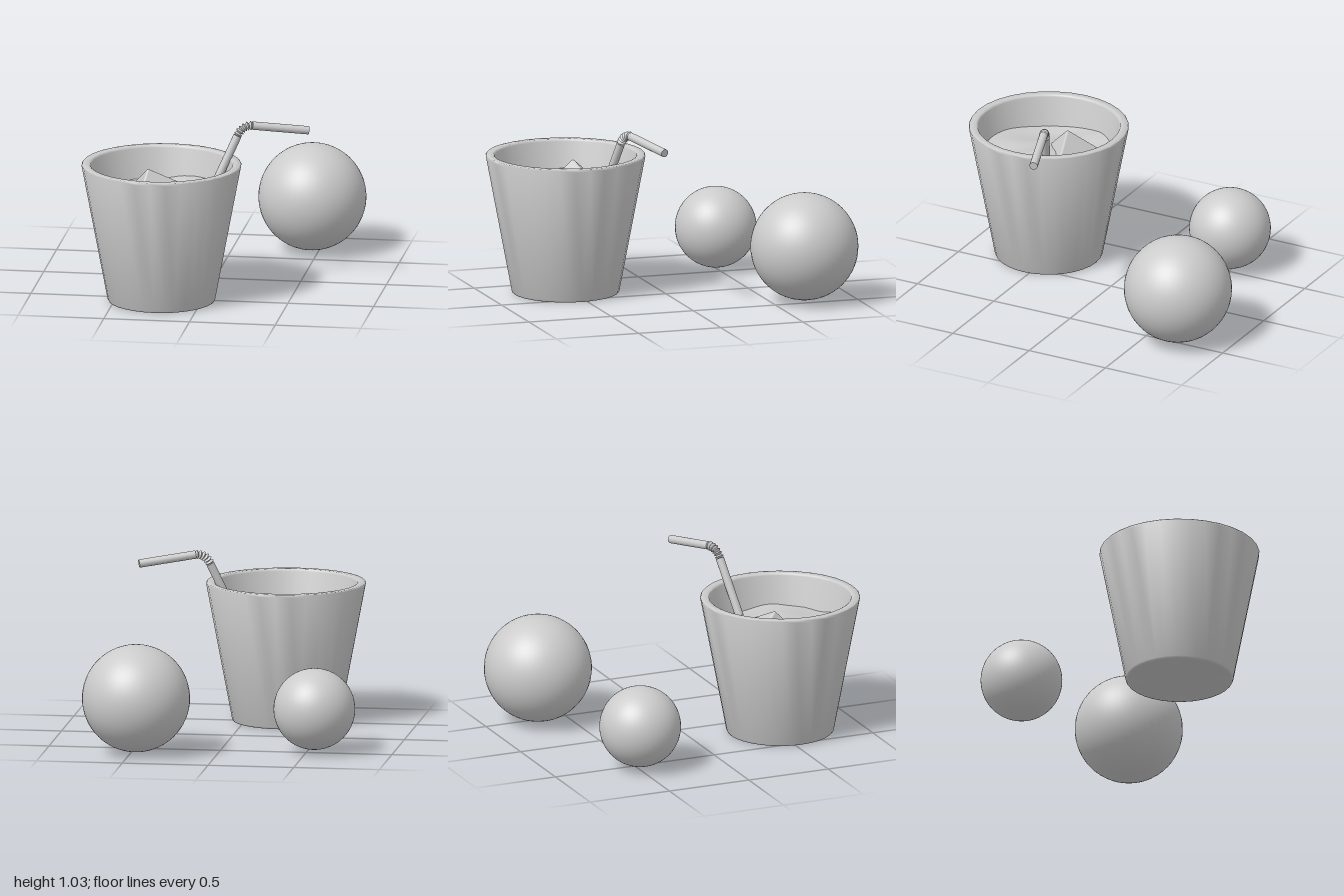
import * as THREE from 'three';
import { toCreasedNormals } from 'three/addons/utils/BufferGeometryUtils.js';
import { RoundedBoxGeometry } from 'three/addons/geometries/RoundedBoxGeometry.js';

const V = (x, y, z) => new THREE.Vector3(x, y, z);
const grey = new THREE.MeshStandardMaterial({ color: 0xcccccc });
const greyDouble = new THREE.MeshStandardMaterial({ color: 0xcccccc, side: THREE.DoubleSide });

function part(name, geometry, material = grey) {
  const mesh = new THREE.Mesh(geometry, material);
  mesh.name = name;
  return mesh;
}

// Closed cylinder running from point a to point b
function rod(name, a, b, radius) {
  const dir = b.clone().sub(a);
  const mesh = part(name, new THREE.CylinderGeometry(radius, radius, dir.length(), 16));
  mesh.position.copy(a).add(b).multiplyScalar(0.5);
  mesh.quaternion.setFromUnitVectors(V(0, 1, 0), dir.normalize());
  return mesh;
}

// Tapered cup with a thick wall and softened edges
function makeCup() {
  const profile = [
    [0, 0], [0.298, 0], [0.307, 0.003], [0.312, 0.012],
    [0.461, 0.8], [0.462, 0.809], [0.457, 0.815],
    [0.42, 0.815], [0.413, 0.811], [0.41, 0.802],
    [0.27, 0.05], [0, 0.05],
  ].map(([r, y]) => new THREE.Vector2(r, y));
  return part('cup', toCreasedNormals(new THREE.LatheGeometry(profile, 32), 0.9));
}

// Gently rippled drink surface
function makeDrink() {
  const geo = new THREE.RingGeometry(0, 0.378, 64, 16);
  geo.rotateX(-Math.PI / 2);
  const p = geo.attributes.position;
  for (let i = 0; i < p.count; i++) {
    const x = p.getX(i), z = p.getZ(i);
    const wave = 0.011 * Math.sin(11 * x + 4 * z + 0.6) + 0.009 * Math.cos(13 * z - 5 * x)
      + 0.004 * Math.sin(24 * x - 17 * z);
    p.setY(i, 0.64 + wave);
  }
  geo.computeVertexNormals();
  return part('drink', geo, greyDouble);
}

// Tilted cube with one corner breaking the drink surface
function makeIce() {
  const size = 0.23;
  const peak = V(-0.325, 0.765, 0.46);
  const ex = V(0.145, -0.07, -0.04).normalize();
  const ez = V(-0.035, -0.12, 0.125);
  ez.addScaledVector(ex, -ez.dot(ex)).normalize();
  const ey = ez.clone().cross(ex);
  const ice = part('iceCube', new RoundedBoxGeometry(size, size, size, 2, 0.012));
  ice.quaternion.setFromRotationMatrix(new THREE.Matrix4().makeBasis(ex, ey, ez));
  ice.position.copy(peak).addScaledVector(ex, size / 2)
    .addScaledVector(ez, size / 2).addScaledVector(ey, -size / 2);
  return ice;
}

// Drinking straw: long stem, pleated bend, short mouthpiece
function makeStraw() {
  const straw = new THREE.Group();
  straw.name = 'straw';
  const r = 0.024;
  const foot = V(-0.2, 0.08, 0.505), bendStart = V(0.181, 0.945, 0.334);
  const bendEnd = V(0.262, 1.0, 0.302), tip = V(0.576, 0.957, 0.199);
  straw.add(rod('strawStem', foot, bendStart, r), rod('strawMouthpiece', bendEnd, tip, r));

  // Pleats alternate wide and narrow rings along the bend
  const rings = 12;
  const path = new THREE.QuadraticBezierCurve3(bendStart, V(0.208, 1.005, 0.322), bendEnd);
  const geo = new THREE.TubeGeometry(path, rings, r, 16);
  const p = geo.attributes.position, v = V(0, 0, 0);
  for (let i = 0; i < p.count; i++) {
    const ring = Math.floor(i / 17);
    const c = path.getPointAt(ring / rings);
    v.fromBufferAttribute(p, i).sub(c).multiplyScalar(ring % 2 ? 1.12 : 0.6).add(c);
    p.setXYZ(i, v.x, v.y, v.z);
  }
  straw.add(part('strawPleats', toCreasedNormals(geo, 0.7), greyDouble));
  return straw;
}

function makeBall(name, radius, x, y, z) {
  const ball = part(name, new THREE.SphereGeometry(radius, 48, 32));
  ball.position.set(x, y, z);
  return ball;
}

export function createModel() {
  const model = new THREE.Group();
  model.name = 'drinkAndBalls';
  const cup = new THREE.Group();
  cup.name = 'filledCup';
  cup.add(makeCup(), makeDrink());
  cup.position.set(-0.233, 0, 0.533);
  model.add(
    cup, makeIce(), makeStraw(),
    makeBall('largeBall', 0.312, 0.465, 0.327, -0.688),
    makeBall('smallBall', 0.236, -0.546, 0.254, -0.486),
  );
  return model;
}
